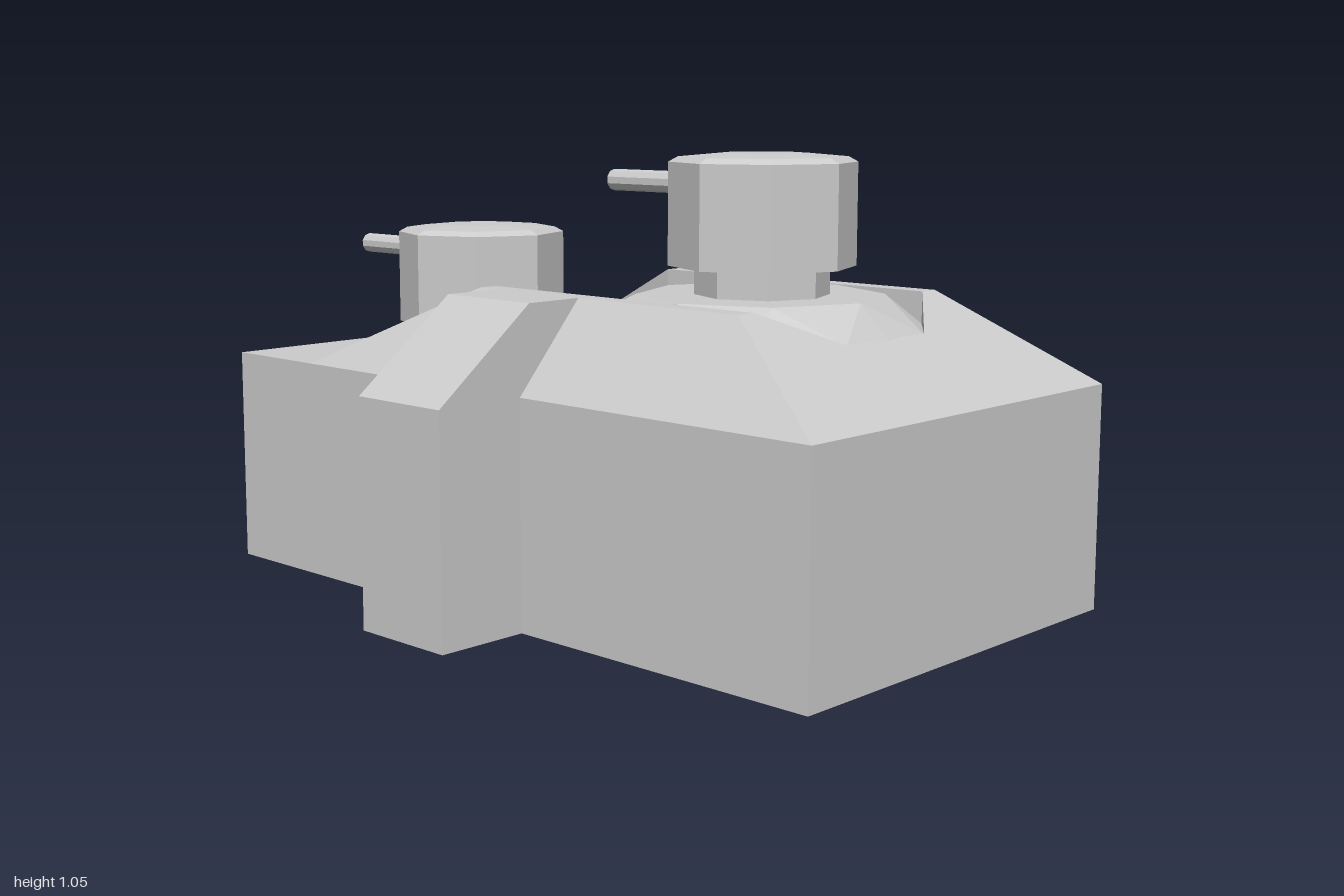
import * as THREE from 'three';
import { ConvexGeometry } from 'three/addons/geometries/ConvexGeometry.js';

const mat = new THREE.MeshStandardMaterial({ color: 0xcccccc, flatShading: true });
const matDouble = new THREE.MeshStandardMaterial({ color: 0xcccccc, flatShading: true, side: THREE.DoubleSide });

function add(parent, name, geometry, x = 0, y = 0, z = 0, material = mat) {
  const mesh = new THREE.Mesh(geometry, material);
  mesh.name = name;
  mesh.position.set(x, y, z);
  parent.add(mesh);
  return mesh;
}

function box(parent, name, x0, x1, y0, y1, z0, z1) {
  return add(parent, name, new THREE.BoxGeometry(x1 - x0, y1 - y0, z1 - z0),
    (x0 + x1) / 2, (y0 + y1) / 2, (z0 + z1) / 2);
}

// Polygons on the +x half, fanned into triangles and mirrored to -x
function mirroredFaces(polygons) {
  const out = [];
  for (const p of polygons) {
    for (let i = 1; i < p.length - 1; i++) {
      const tri = [p[0], p[i], p[i + 1]];
      tri.forEach((v) => out.push(...v));
      tri.reverse().forEach(([x, y, z]) => out.push(-x, y, z));
    }
  }
  const g = new THREE.BufferGeometry();
  g.setAttribute('position', new THREE.Float32BufferAttribute(out, 3));
  g.computeVertexNormals();
  return g;
}

// Octagon with a corner on each axis; the rear corner may be cut flat at z = cut
function octagon(r, y, cut = -10, cz = 0) {
  const pts = [];
  for (let i = 0; i < 8; i++) {
    const a = (i * Math.PI) / 4, x = r * Math.sin(a), z = r * Math.cos(a);
    if (z >= cut) pts.push(new THREE.Vector3(x, y, z + cz));
    else {
      const w = (r + cut) / Math.tan(Math.PI / 8);
      pts.push(new THREE.Vector3(w, y, cut + cz), new THREE.Vector3(-w, y, cut + cz));
    }
  }
  return pts;
}

// Turret whose drum starts at local y = 0, gun pointing to the rear
function makeTurret(name, neckRadius, neckHeight) {
  const t = new THREE.Group();
  t.name = name;
  add(t, 'neck', new THREE.CylinderGeometry(neckRadius, neckRadius, neckHeight, 8), 0, -neckHeight / 2, 0);
  add(t, 'lowerDrum', new THREE.CylinderGeometry(0.215, 0.215, 0.1, 8), 0, 0.05, 0);
  add(t, 'upperDrum', new ConvexGeometry([
    ...octagon(0.215, 0.09, -0.19), ...octagon(0.215, 0.235, -0.19),
    ...octagon(0.193, 0.247, -0.175), ...octagon(0.1, 0.255)]));
  // Gun mount: tapering block between two cheeks
  const side = new THREE.Shape([[0.17, 0.13], [0.2, 0.13], [0.27, 0.15], [0.27, 0.205], [0.17, 0.215]]
    .map(([z, y]) => new THREE.Vector2(z, y)));
  const mount = new THREE.ExtrudeGeometry(side, { depth: 0.05, bevelEnabled: false });
  mount.rotateY(Math.PI / 2);
  add(t, 'gunMount', mount, -0.025, 0, 0);
  for (const s of [-1, 1]) box(t, 'gunCheek', s * 0.04 - 0.008, s * 0.04 + 0.008, 0.12, 0.215, -0.205, -0.17);
  const barrel = new THREE.CylinderGeometry(0.026, 0.026, 0.27, 10);
  barrel.rotateX(Math.PI / 2);
  add(t, 'barrel', barrel, 0, 0.18, -0.335);
  return t;
}

export function createModel() {
  const model = new THREE.Group();
  model.name = 'bunker';
  const T = 0.735, D = 0.53;

  // Main block
  box(model, 'hull', -0.53, 0.53, 0, D, -0.86, 1);

  // Sloped upper works around a sunken central trench
  const A = [0.35, T, 0.66], B = [0.35, T, -0.14], C = [0.53, D, 1], R = [0.53, D, -0.57];
  const E = [0.3, T, 0.66], F = [0.14, 0.663, 0.78], G = [0.3, T, -0.14], H = [0.37, D, -0.57];
  add(model, 'upperWorks', mirroredFaces([
    [C, R, B, A],
    [[0, D, 1], C, F, [0, 0.663, 0.78]],
    [C, A, E, F],
    [A, B, G, E],
    [B, R, H, G],
    [F, E, [0.3, D, 0.66], [0.14, D, 0.78]],
    [E, G, [0.3, D, -0.14], [0.3, D, 0.66]],
    [G, H, [0.3, D, -0.14]],
  ]), 0, 0, 0, matDouble);

  // Side buttresses with a chamfered outer shoulder
  for (const s of [-1, 1]) {
    const outline = new THREE.Shape([[0.345, 0], [0.76, 0], [0.76, D], [0.5, T], [0.345, T]]
      .map(([x, y]) => new THREE.Vector2(s * x, y)));
    add(model, 'buttress', new THREE.ExtrudeGeometry(outline, { depth: 0.27, bevelEnabled: false }), 0, 0, -0.08);
  }

  // Raised base under the front turret
  const rim = [[0, 0.785], [0.14, 0.78], [0.3, 0.66], [0.3, 0.11], [0.14, 0.04], [0, 0.03]];
  const basePoints = octagon(0.285, T, -10, 0.425);
  for (const [x, z] of rim) {
    for (const s of [-1, 1]) {
      for (const y of [D, 0.66]) basePoints.push(new THREE.Vector3(s * x, y, z));
    }
  }
  add(model, 'frontTurretBase', new ConvexGeometry(basePoints));

  // Raised walkway between the turrets
  box(model, 'walkway', -0.14, 0.14, D, 0.662, -0.36, 0.06);

  const front = makeTurret('frontTurret', 0.155, 0.07);
  front.position.set(0, 0.8, 0.43);
  const rear = makeTurret('rearTurret', 0.205, 0.07);
  rear.position.set(0, 0.595, -0.53);
  model.add(front, rear);
  return model;
}
